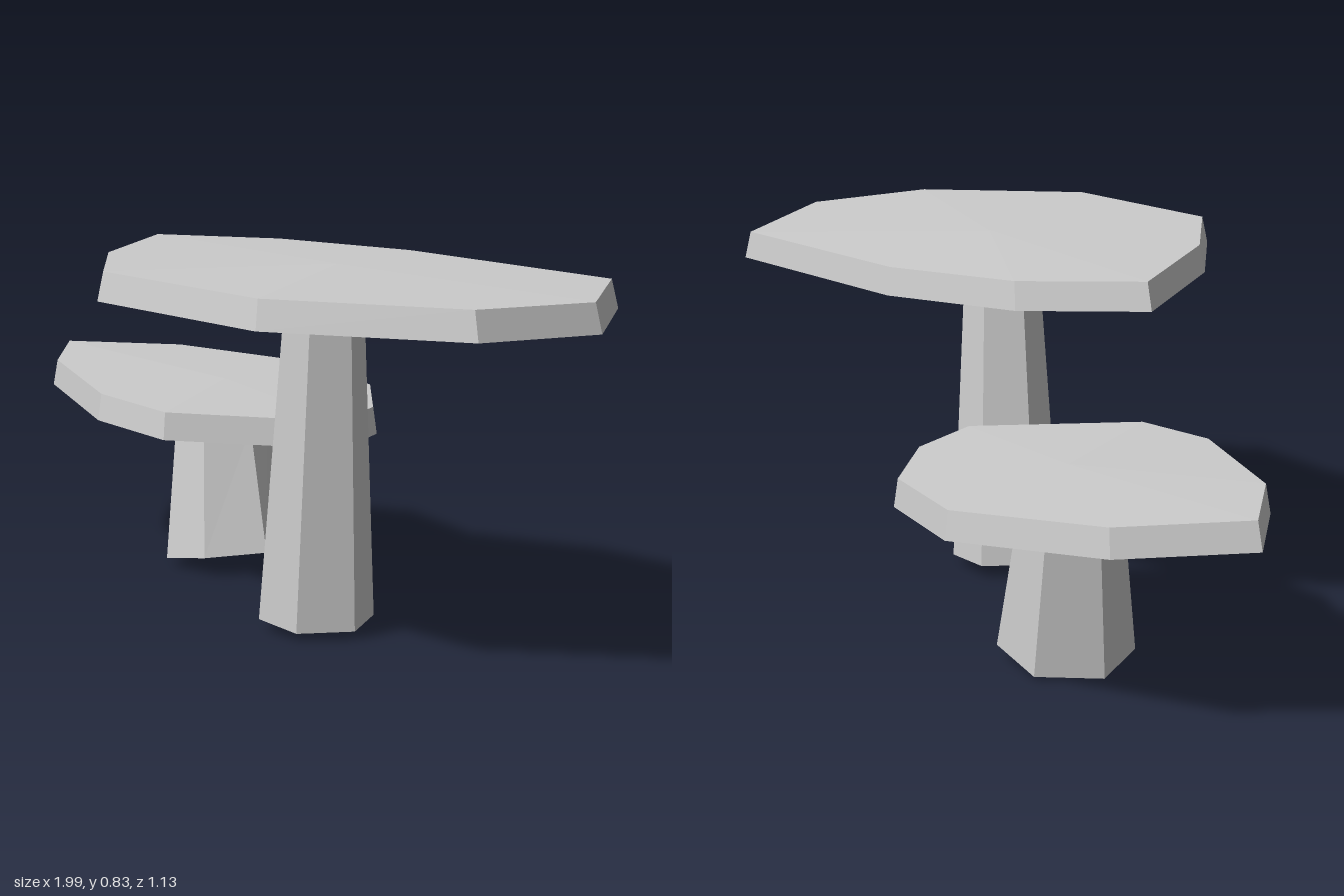
import * as THREE from 'three';

const grey = new THREE.MeshStandardMaterial({ color: 0xcccccc });
grey.name = 'grey';

// Joins rings (counter-clockwise from above, listed bottom to top) and closes both ends on a centre point.
function loft(name, rings, bottom, top) {
  const pos = [];
  const tri = (...pts) => pts.forEach((p) => pos.push(...p));
  const n = rings[0].length;
  for (let i = 0; i < n; i++) {
    const j = (i + 1) % n;
    tri(bottom, rings[0][j], rings[0][i]);
    for (let k = 0; k + 1 < rings.length; k++) {
      const lo = rings[k], hi = rings[k + 1];
      tri(lo[i], lo[j], hi[j]);
      tri(lo[i], hi[j], hi[i]);
    }
    const last = rings[rings.length - 1];
    tri(last[i], last[j], top);
  }
  const geo = new THREE.BufferGeometry();
  geo.setAttribute('position', new THREE.Float32BufferAttribute(pos, 3));
  geo.computeVertexNormals(); // unindexed, so every face is flat
  const mesh = new THREE.Mesh(geo, grey);
  mesh.name = name;
  return mesh;
}

// Flat tilted cap: irregular rim, bevelled edge, shallow bowl underneath, faint dome on top.
function makeCap(name, outline, [cx, cz], plane) {
  const ring = (scale, dy) => outline.map(([x, z]) => {
    const px = cx + (x - cx) * scale, pz = cz + (z - cz) * scale;
    return [px, plane(px, pz) + dy, pz];
  }).reverse();
  const c = plane(cx, cz);
  return loft(name, [ring(0.5, -0.041), ring(1, 0), ring(0.975, 0.063)],
    [cx, c - 0.062, cz], [cx, c + 0.071, cz]);
}

// Six-sided leaning stem with a slanted foot.
function makeStem(name, foot, head) {
  const ring = ({ x, y, z, r, rz = r, sx = 0, sz = 0 }) =>
    Array.from({ length: 6 }, (_, i) => {
      const a = (i * Math.PI) / 3;
      const dx = Math.cos(a) * r, dz = -Math.sin(a) * rz;
      return [x + dx, y + sx * dx + sz * dz, z + dz];
    });
  return loft(name, [ring(foot), ring(head)], [foot.x, foot.y, foot.z], [head.x, head.y, head.z]);
}

export function createModel() {
  const model = new THREE.Group();
  model.name = 'mushrooms';

  // Tall mushroom
  const tall = new THREE.Group();
  tall.name = 'tallMushroom';
  tall.add(
    makeCap('tallCap', [
      [-0.385, 0.02], [-0.185, -0.2], [0.135, -0.335], [0.74, -0.385], [0.997, -0.065],
      [0.965, 0.245], [0.64, 0.535], [0.15, 0.565], [-0.13, 0.35],
    ], [0.32, 0.05], (x, z) => 0.757 - 0.022 * x + 0.021 * z),
    makeStem('tallStem',
      { x: 0.27, y: 0.028, z: 0.0625, r: 0.13, sx: -0.055, sz: -0.03 },
      { x: 0.31, y: 0.71, z: 0.078, r: 0.09 }),
  );

  // Short mushroom
  const short = new THREE.Group();
  short.name = 'shortMushroom';
  short.add(
    makeCap('shortCap', [
      [-0.997, -0.145], [-0.835, -0.395], [-0.495, -0.568], [-0.195, -0.515], [0.02, -0.335],
      [0.112, -0.145], [-0.145, 0.174], [-0.385, 0.187], [-0.785, 0.04],
    ], [-0.38, -0.19], (x, z) => 0.369 - 0.059 * x + 0.021 * z),
    makeStem('shortStem',
      { x: -0.345, y: 0.029, z: -0.172, r: 0.15, rz: 0.153, sx: 0.177, sz: 0.04 },
      { x: -0.39, y: 0.35, z: -0.19, r: 0.112, rz: 0.115 }),
  );

  model.add(tall, short);
  return model;
}
